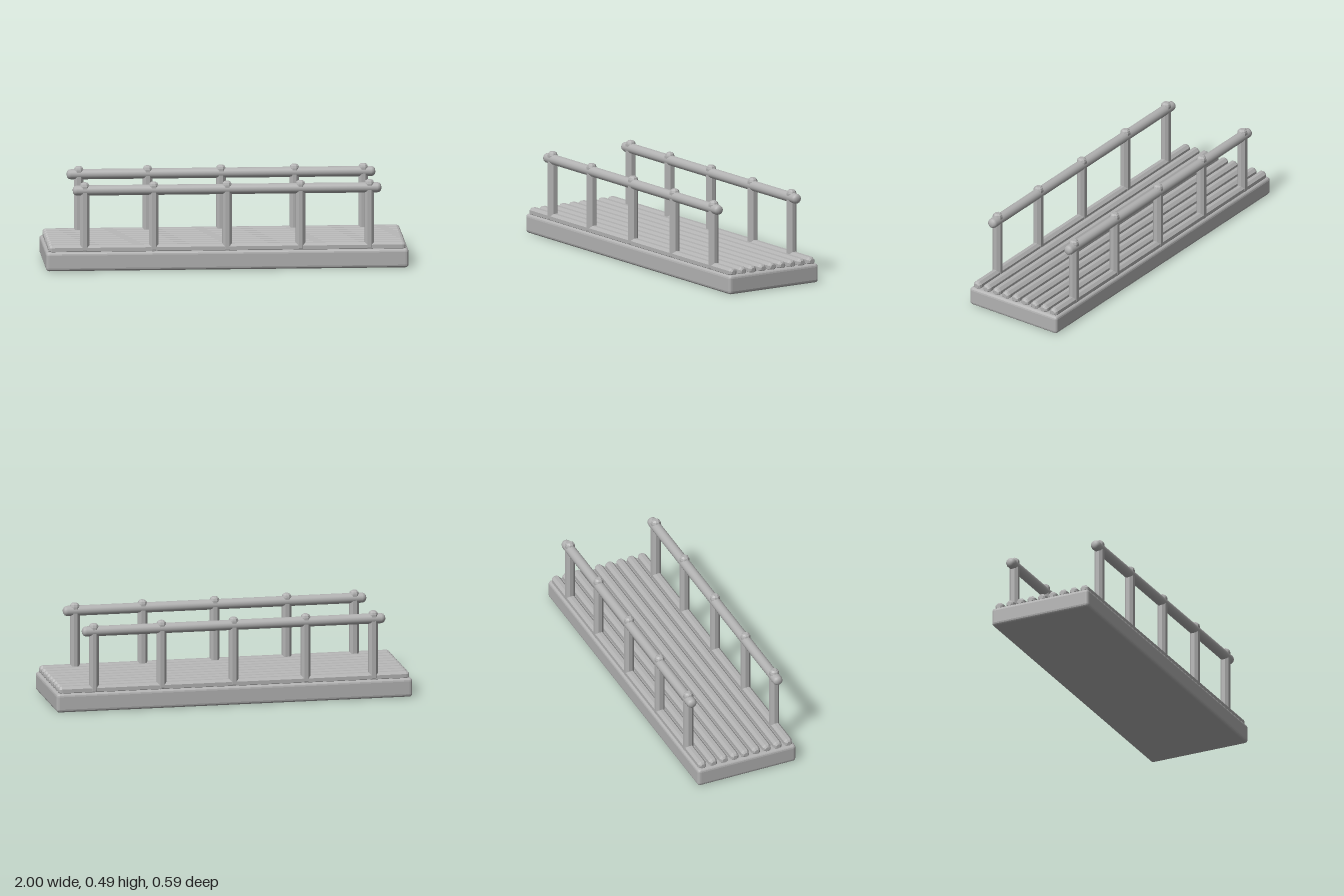
import * as THREE from 'three';
import { RoundedBoxGeometry } from 'three/addons/geometries/RoundedBoxGeometry.js';

// Faceted bar along y with softly bevelled ends, centred on the origin
function barGeometry(length, radius, sides, bevel, flat) {
  const h = length / 2;
  const profile = [
    [0, -h],
    [radius * 0.5, -h],
    [radius * 0.86, -h + bevel * 0.4],
    [radius, -h + bevel],
    [radius, h - bevel],
    [radius * 0.86, h - bevel * 0.4],
    [radius * 0.5, h],
    [0, h],
  ].map(([x, y]) => new THREE.Vector2(x, y));
  let geometry = new THREE.LatheGeometry(profile, sides);
  geometry.rotateY(Math.PI / sides);
  if (flat) {
    geometry = geometry.toNonIndexed();
    geometry.computeVertexNormals();
  }
  return geometry;
}

export function createModel() {
  const model = new THREE.Group();
  model.name = 'footbridge';
  const grey = new THREE.MeshStandardMaterial({ color: 0xb2b2b2 });
  grey.name = 'plain grey';

  function add(name, geometry, x, y, z) {
    const mesh = new THREE.Mesh(geometry, grey);
    mesh.name = name;
    mesh.position.set(x, y, z);
    model.add(mesh);
  }

  // Bevelled base slab
  const base = new RoundedBoxGeometry(2, 0.107, 0.594, 2, 0.018);
  base.computeVertexNormals();
  add('base', base, 0, 0.0535, 0);

  // Nine long poles forming the walkway
  const pole = barGeometry(1.97, 0.0265, 8, 0.018, true).rotateZ(Math.PI / 2);
  for (let i = -4; i <= 4; i++) add('deckPole', pole, 0, 0.119, i * 0.065);

  // Railings on both sides
  const post = barGeometry(0.395, 0.028, 8, 0.02, true);
  const rail = barGeometry(1.7, 0.0285, 16, 0.022, false).rotateZ(Math.PI / 2);
  for (const z of [-0.26, 0.26]) {
    for (const x of [-0.785, -0.405, 0, 0.405, 0.785]) add('railPost', post, x, 0.2925, z);
    add('handrail', rail, 0, 0.446, z);
  }
  return model;
}
